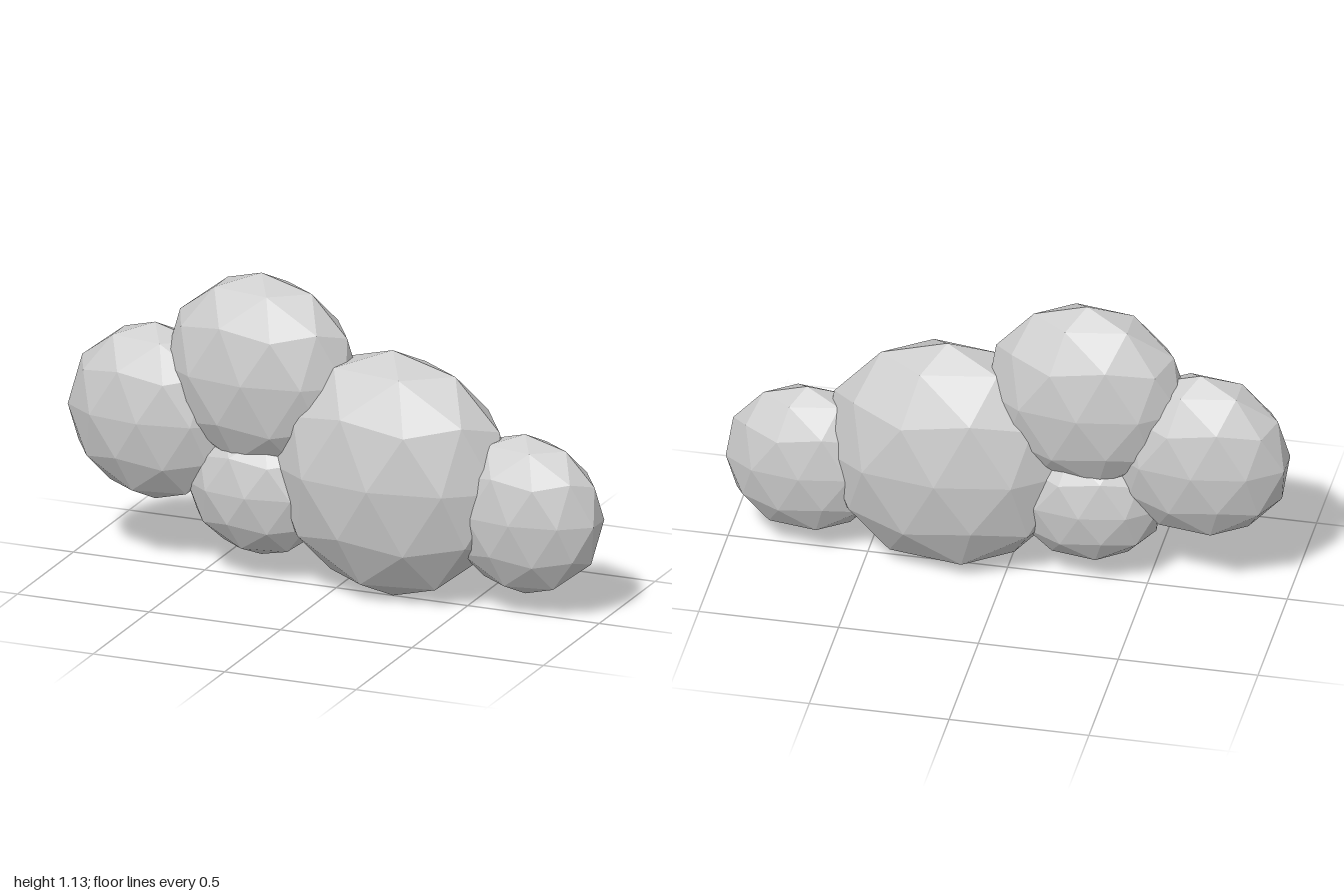
import * as THREE from 'three';

// One faceted, flattened puff: an icosphere standing on a vertex
function puff(name, center, radii, material) {
  const geometry = new THREE.IcosahedronGeometry(1, 1);
  geometry.rotateZ(-Math.atan(2 / (1 + Math.sqrt(5))));
  geometry.scale(...radii);
  geometry.computeVertexNormals();
  const mesh = new THREE.Mesh(geometry, material);
  mesh.name = name;
  mesh.position.set(...center);
  return mesh;
}

export function createModel() {
  const cloud = new THREE.Group();
  cloud.name = 'cloud';
  const material = new THREE.MeshStandardMaterial({ color: 0xcccccc, flatShading: true });

  // name, center, radii
  const puffs = [
    ['mainPuff', [0.215, 0.457, 0], [0.453, 0.453, 0.24]],
    ['topPuff', [-0.285, 0.766, -0.002], [0.364, 0.364, 0.193]],
    ['rightPuff', [-0.69, 0.569, -0.003], [0.326, 0.326, 0.172]],
    ['leftPuff', [0.717, 0.371, -0.003], [0.295, 0.294, 0.155]],
    ['bottomPuff', [-0.285, 0.341, -0.002], [0.276, 0.25, 0.156]],
  ];
  for (const [name, center, radii] of puffs) cloud.add(puff(name, center, radii, material));
  return cloud;
}
